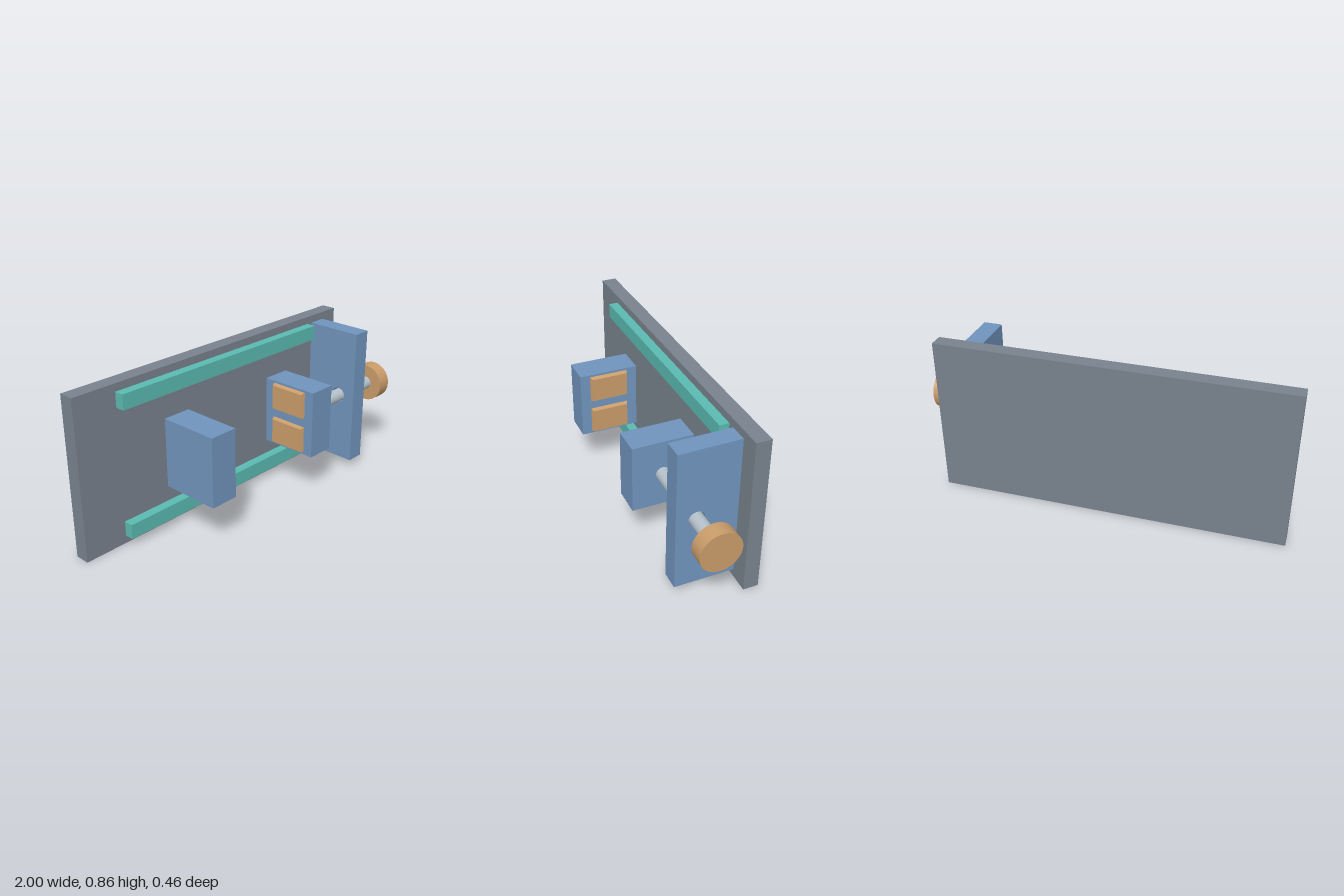
import * as THREE from 'three';

const mat = (name, color) => {
  const m = new THREE.MeshStandardMaterial({ color });
  m.name = name;
  return m;
};

export function createModel() {
  const group = new THREE.Group();
  const slate = mat('slate grey', 0x78828d);
  const blue = mat('steel blue', 0x7094bc);
  const teal = mat('teal', 0x5abab0);
  const tan = mat('tan', 0xc99c6a);
  const steel = mat('light steel', 0xb4c0ca);

  const AXIS_Y = 0.429, AXIS_Z = 0.067;

  const add = (name, geometry, material) => {
    const mesh = new THREE.Mesh(geometry, material);
    mesh.name = name;
    group.add(mesh);
    return mesh;
  };

  // Box given by its extents along each axis
  const box = (name, material, [x0, x1], [y0, y1], [z0, z1]) => {
    const mesh = add(name, new THREE.BoxGeometry(x1 - x0, y1 - y0, z1 - z0), material);
    mesh.position.set((x0 + x1) / 2, (y0 + y1) / 2, (z0 + z1) / 2);
    return mesh;
  };

  // Cylinder lying along x on the screw axis
  const rod = (name, material, radius, x0, x1) => {
    const mesh = add(name, new THREE.CylinderGeometry(radius, radius, x1 - x0, 48), material);
    mesh.rotation.z = -Math.PI / 2;
    mesh.position.set((x0 + x1) / 2, AXIS_Y, AXIS_Z);
  };

  // Back plate and the two guide rails
  box('backPlate', slate, [-1, 0.86], [0, 0.857], [-0.227, -0.147]);
  box('lowerRail', teal, [-0.76, 0.62], [0.043, 0.123], [-0.147, -0.096]);
  box('upperRail', teal, [-0.76, 0.62], [0.736, 0.816], [-0.147, -0.096]);

  // Fixed and sliding jaws
  box('fixedJaw', blue, [-0.515, -0.36], [0.243, 0.615], [-0.096, 0.229]);
  box('slidingJaw', blue, [0.22, 0.375], [0.243, 0.615], [-0.096, 0.229]);

  // Gripping pads, slightly tapered toward the gripping face
  for (const [side, x0, x1, face] of [['fixed', -0.36, -0.338, 1], ['sliding', 0.198, 0.22, -1]]) {
    for (const [level, y0, y1] of [['Lower', 0.255, 0.404], ['Upper', 0.454, 0.603]]) {
      const pad = box(`${side}${level}Pad`, tan, [x0, x1], [y0, y1], [-0.04, 0.174]);
      const p = pad.geometry.attributes.position;
      for (let i = 0; i < p.count; i++) {
        if (p.getX(i) * face > 0) {
          p.setY(i, p.getY(i) - Math.sign(p.getY(i)) * 0.008);
          p.setZ(i, p.getZ(i) - Math.sign(p.getZ(i)) * 0.008);
        }
      }
      pad.geometry.computeVertexNormals();
    }
  }

  // Upright end block with a clearance hole; shape x runs along -z
  const shape = new THREE.Shape();
  shape.moveTo(-0.173, 0.043);
  shape.lineTo(0.147, 0.043);
  shape.lineTo(0.147, 0.815);
  shape.lineTo(-0.173, 0.815);
  shape.closePath();
  const hole = new THREE.Path();
  hole.absarc(-AXIS_Z, AXIS_Y, 0.043, 0, Math.PI * 2, true);
  shape.holes.push(hole);
  const block = add('endBlock',
    new THREE.ExtrudeGeometry(shape, { depth: 0.1, bevelEnabled: false, curveSegments: 40 }), blue);
  block.rotation.y = Math.PI / 2;
  block.position.x = 0.655;

  // Lead screw and its turning knob
  rod('leadScrew', steel, 0.037, 0.375, 0.92);
  rod('knob', tan, 0.106, 0.92, 1);

  return group;
}
